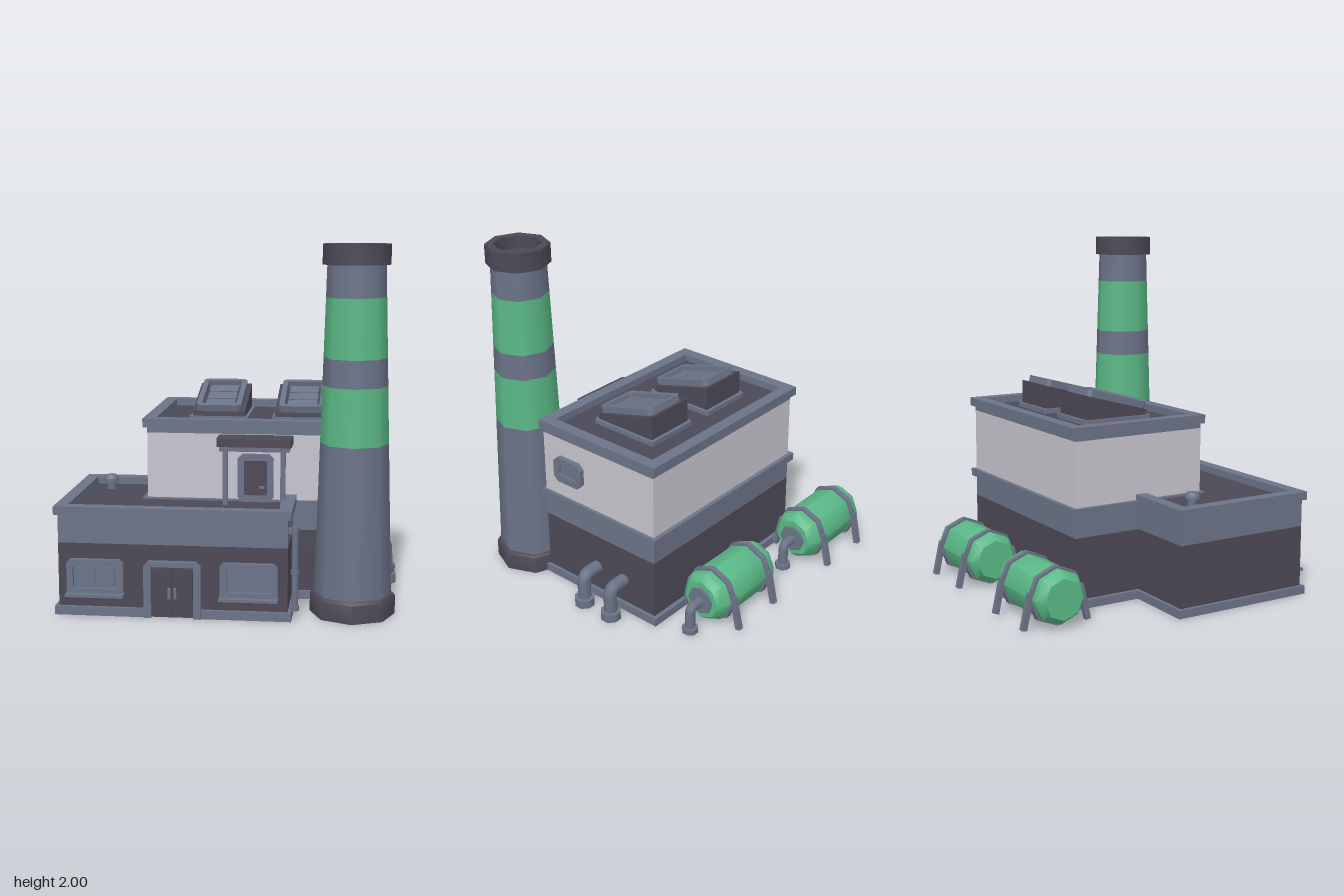
import * as THREE from 'three';
import { toCreasedNormals } from 'three/addons/utils/BufferGeometryUtils.js';

const material = (name, color) => {
  const m = new THREE.MeshStandardMaterial({ color });
  m.name = name;
  return m;
};

export function createModel() {
  const slate = material('slate', 0x6b7387);
  const dark = material('charcoal', 0x4c4957);
  const pale = material('pale wall', 0xc6c5ce);
  const green = material('green', 0x5ab886);
  const model = new THREE.Group();
  model.name = 'factory';

  function add(parent, name, geometry, mat, x = 0, y = 0, z = 0) {
    const mesh = new THREE.Mesh(geometry, mat);
    mesh.name = name;
    mesh.position.set(x, y, z);
    parent.add(mesh);
    return mesh;
  }
  function group(name, x = 0, y = 0, z = 0, parent = model) {
    const g = new THREE.Group();
    g.name = name;
    g.position.set(x, y, z);
    parent.add(g);
    return g;
  }
  // Box given by its limits on each axis
  const block = (parent, name, mat, x0, x1, y0, y1, z0, z1) =>
    add(parent, name, new THREE.BoxGeometry(x1 - x0, y1 - y0, z1 - z0), mat,
      (x0 + x1) / 2, (y0 + y1) / 2, (z0 + z1) / 2);
  // Rectangle with cut corners
  function outline(path, w, h, c) {
    const a = w / 2, b = h / 2;
    return path.setFromPoints([[-a + c, -b], [a - c, -b], [a, -b + c], [a, b - c],
      [a - c, b], [-a + c, b], [-a, b - c], [-a, -b + c]].map(p => new THREE.Vector2(...p)));
  }
  // Plate facing +z, open in the middle when a border is given
  function plate(w, h, depth, cut, border = 0) {
    const s = outline(new THREE.Shape(), w, h, cut);
    if (border) s.holes.push(outline(new THREE.Path(), w - 2 * border, h - 2 * border, cut * 0.3));
    return new THREE.ExtrudeGeometry(s, { depth, bevelEnabled: false });
  }
  const drum = (r0, r1, h) => new THREE.CylinderGeometry(r1, r0, h, 8);
  const lathe = pts => toCreasedNormals(
    new THREE.LatheGeometry(pts.map(p => new THREE.Vector2(...p)), 8), 0.8);
  // Raised rim around a flat roof
  function parapet(parent, x0, x1, z0, z1, y0, y1) {
    const m = add(parent, 'parapet', plate(x1 - x0, z1 - z0, y1 - y0, 0.001, 0.07), slate,
      (x0 + x1) / 2, y0, (z0 + z1) / 2);
    m.rotation.x = -Math.PI / 2;
  }
  // Pipe leaving a wall along +x and turning down
  function elbowPipe(parent, name, reach, top, r) {
    const path = new THREE.CurvePath();
    const v = (x, y) => new THREE.Vector3(x, y, 0);
    const b = r * 1.3;
    path.add(new THREE.LineCurve3(v(-0.02, top), v(reach - b, top)));
    path.add(new THREE.QuadraticBezierCurve3(v(reach - b, top), v(reach, top), v(reach, top - b)));
    path.add(new THREE.LineCurve3(v(reach, top - b), v(reach, 0.01)));
    return add(parent, name, new THREE.TubeGeometry(path, 20, r, 8), slate);
  }

  // Low front hall
  const hall = group('frontHall');
  block(hall, 'lowerWall', dark, -0.91, 0.335, 0, 0.4, -0.03, 0.8);
  block(hall, 'upperBand', slate, -0.91, 0.335, 0.4, 0.555, -0.03, 0.8);
  block(hall, 'plinth', slate, -0.93, 0.355, 0.002, 0.05, -0.05, 0.795);
  block(hall, 'plinthFrontRight', slate, -0.93, -0.43, 0.002, 0.05, 0.795, 0.82);
  block(hall, 'plinthFrontLeft', slate, -0.15, 0.355, 0.002, 0.05, 0.795, 0.82);
  block(hall, 'roofDeck', dark, -0.88, 0.3, 0.55, 0.56, 0, 0.77);
  parapet(hall, -0.93, 0.355, -0.05, 0.82, 0.555, 0.602);

  // Tall rear hall
  const rear = group('rearHall');
  block(rear, 'lowerWall', dark, -0.49, 0.75, 0, 0.4, -0.44, 0.39);
  block(rear, 'middleBand', slate, -0.49, 0.75, 0.4, 0.53, -0.44, 0.39);
  block(rear, 'ledge', slate, -0.515, 0.77, 0.525, 0.57, -0.465, 0.405);
  block(rear, 'upperWall', pale, -0.49, 0.75, 0.57, 0.94, -0.44, 0.39);
  block(rear, 'cornice', slate, -0.49, 0.75, 0.94, 0.972, -0.44, 0.39);
  block(rear, 'plinth', slate, -0.515, 0.77, 0.002, 0.05, -0.465, 0.405);
  block(rear, 'roofDeck', dark, -0.47, 0.72, 0.965, 0.978, -0.42, 0.36);
  parapet(rear, -0.515, 0.77, -0.465, 0.405, 0.97, 1.02);

  // Front windows with sills
  for (const x of [-0.705, 0.127]) {
    const w = group('frontWindow', x, 0.218, 0.795);
    add(w, 'windowFrame', plate(0.31, 0.195, 0.035, 0.02, 0.035), slate);
    add(w, 'windowBack', plate(0.25, 0.14, 0.012, 0.002), slate);
    for (const s of [-1, 1]) add(w, 'pane', plate(0.1, 0.105, 0.02, 0.002), slate, s * 0.056);
    block(w, 'sill', slate, -0.158, 0.158, -0.103, -0.088, 0, 0.07);
  }

  // Double entrance door
  const entry = group('entrance', -0.285, 0, 0.795);
  const arch = new THREE.Shape([[-0.155, 0.002], [-0.115, 0.002], [-0.115, 0.285], [0.115, 0.285],
    [0.115, 0.002], [0.155, 0.002], [0.155, 0.29], [0.13, 0.315], [-0.13, 0.315], [-0.155, 0.29]]
    .map(p => new THREE.Vector2(...p)));
  add(entry, 'doorFrame', new THREE.ExtrudeGeometry(arch, { depth: 0.035, bevelEnabled: false }), slate);
  for (const s of [-1, 1]) {
    add(entry, 'doorLeaf', plate(0.108, 0.255, 0.02, 0.012), dark, s * 0.057, 0.145);
    block(entry, 'doorHandle', slate, s * 0.016 - 0.008, s * 0.016 + 0.008, 0.11, 0.17, 0.02, 0.035);
  }

  // Roof door under a canopy
  const porch = group('roofPorch', 0.125, 0, 0.39);
  add(porch, 'doorFrame', plate(0.2, 0.27, 0.03, 0.025, 0.035), slate, 0, 0.695, 0);
  add(porch, 'door', plate(0.14, 0.25, 0.015, 0.015), dark, 0, 0.68, 0);
  block(porch, 'doorHandle', slate, 0.02, 0.05, 0.635, 0.65, 0.015, 0.03);
  block(porch, 'canopyBeam', slate, -0.19, 0.195, 0.865, 0.895, 0, 0.135);
  add(porch, 'canopy', plate(0.415, 0.15, 0.045, 0.01), dark, 0.002, 0.892, 0.075).rotation.x = -Math.PI / 2;
  for (const s of [-1, 1])
    block(porch, 'post', slate, s * 0.16 - 0.014, s * 0.16 + 0.014, 0.555, 0.87, 0.095, 0.123);

  // Side window
  const side = group('sideWindow', 0.745, 0.755, 0.185);
  side.rotation.y = Math.PI / 2;
  add(side, 'windowFrame', plate(0.21, 0.155, 0.035, 0.03, 0.045), slate);
  add(side, 'pane', plate(0.125, 0.07, 0.02, 0.002), slate);

  // Sloping skylights
  const wedge = new THREE.ExtrudeGeometry(new THREE.Shape([[-0.17, 0.975], [0.23, 0.975],
    [0.23, 1.143], [-0.17, 1.035]].map(p => new THREE.Vector2(...p))), { depth: 0.305, bevelEnabled: false });
  for (const x of [-0.11, 0.367]) {
    const s = group('skylight', x);
    add(s, 'curb', plate(0.34, 0.44, 0.03, 0.008, 0.03), slate, 0, 0.975, -0.03).rotation.x = -Math.PI / 2;
    add(s, 'housing', wedge, dark, -0.1525).rotation.y = Math.PI / 2;
    const glazing = group('glazing', 0, 1.085, -0.015, s);
    glazing.rotation.x = -Math.PI / 2 + 0.264;
    add(glazing, 'frame', plate(0.26, 0.4, 0.04, 0.02, 0.03), slate);
    for (const y of [-0.105, 0, 0.105])
      add(glazing, 'pane', plate(0.17, 0.095, 0.018, 0.008), slate, 0, y);
  }

  // Roof vent
  const vent = group('roofVent', -0.75, 0, 0.15);
  add(vent, 'stem', drum(0.026, 0.026, 0.06), slate, 0, 0.585);
  add(vent, 'cap', lathe([[0, 0.608], [0.043, 0.608], [0.043, 0.625], [0.028, 0.645], [0, 0.645]]), slate);

  // Chimney
  const chimney = group('chimney', 0.675, 0, 0.595);
  const radius = y => 0.21 - (y - 0.1) * 0.0305;
  add(chimney, 'foot', lathe([[0, 0], [0.232, 0], [0.232, 0.1], [0.222, 0.115], [0, 0.115]]), dark);
  [[0.1, 0.94, slate], [0.94, 1.25, green], [1.25, 1.4, slate], [1.4, 1.72, green], [1.72, 1.9, slate]]
    .forEach(([a, b, mat]) => add(chimney, 'shaftSection', drum(radius(a), radius(b), b - a), mat, 0, (a + b) / 2));
  add(chimney, 'rim', lathe([[0, 1.89], [0.18, 1.89], [0.18, 2], [0.132, 2], [0.132, 1.93], [0, 1.93]]), dark);

  // Downpipe at the front corner
  const down = group('downpipe', 0.37, 0, 0.75);
  add(down, 'pipe', drum(0.018, 0.018, 0.46), slate, 0, 0.28);
  for (const y of [0.06, 0.26, 0.49]) add(down, 'collar', drum(0.024, 0.024, 0.025), slate, 0, y);
  block(down, 'outlet', slate, -0.045, 0, 0.47, 0.5, -0.015, 0.015);

  // Side wall pipes
  for (const z of [-0.005, -0.21]) {
    const p = group('sidePipe', 0.75, 0, z);
    elbowPipe(p, 'pipe', 0.115, 0.195, 0.038);
    add(p, 'foot', drum(0.06, 0.06, 0.05), slate, 0.115, 0.025).rotation.y = Math.PI / 8;
  }

  // Storage tanks on strapped legs
  for (const [x, z] of [[-0.51, -0.67], [0.333, -0.648]]) {
    const t = group('storageTank', x, 0, z);
    add(t, 'tankBody', lathe([[0, -0.26], [0.115, -0.26], [0.15, -0.215], [0.15, 0.215],
      [0.115, 0.26], [0, 0.26]]), green, 0, 0.172).rotation.z = -Math.PI / 2;
    add(t, 'endFlange', drum(0.08, 0.08, 0.02), slate, 0.265, 0.172).rotation.z = Math.PI / 2;
    const o = group('outlet', 0.27, 0, 0, t);
    elbowPipe(o, 'outletPipe', 0.085, 0.17, 0.029);
    add(o, 'outletFoot', drum(0.046, 0.046, 0.03), slate, 0.085, 0.03).rotation.y = Math.PI / 8;
    for (const sx of [-0.163, 0.16]) {
      add(t, 'strap', lathe([[0.145, -0.017], [0.164, -0.017], [0.164, 0.017], [0.145, 0.017]]),
        slate, sx, 0.172).rotation.z = -Math.PI / 2;
      for (const s of [-1, 1]) {
        const leg = add(t, 'leg', new THREE.BoxGeometry(0.032, 0.2, 0.03), slate, sx, 0.108, s * 0.172);
        leg.rotation.x = -s * 0.22;
      }
    }
  }
  return model;
}
